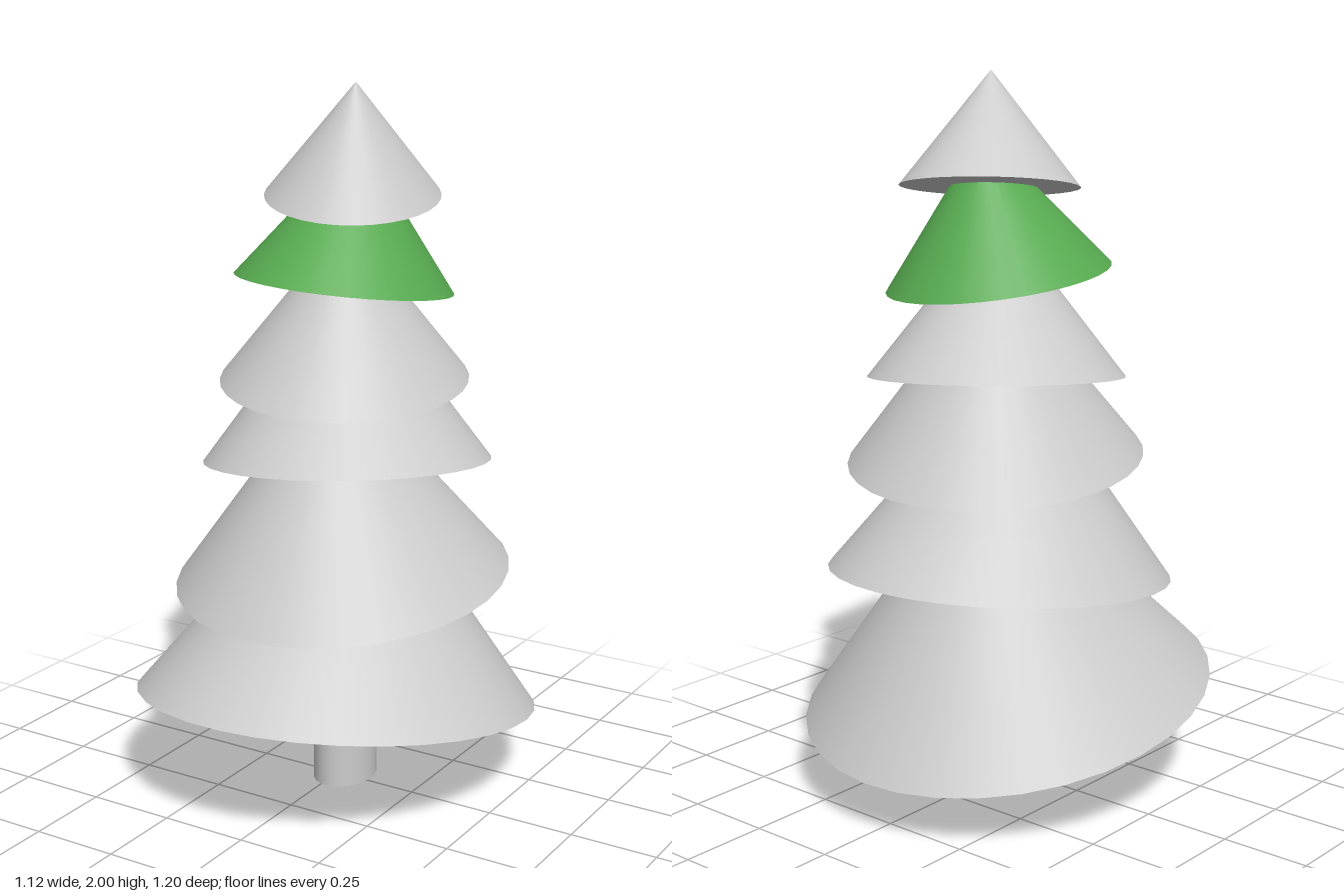
import * as THREE from 'three';

export function createModel() {
  const tree = new THREE.Group();
  tree.name = 'tree';

  const grey = new THREE.MeshStandardMaterial({ color: 0xcccccc });
  grey.name = 'light grey';
  const green = new THREE.MeshStandardMaterial({ color: 0x57aa50 });
  green.name = 'leaf green';

  // Slightly oval trunk, ending inside the lowest tier
  const trunk = new THREE.Mesh(new THREE.CylinderGeometry(0.085, 0.085, 0.4, 24), grey);
  trunk.name = 'trunk';
  trunk.scale.z = 1.28;
  trunk.position.set(0.016, 0.2, -0.018);
  tree.add(trunk);

  // Overlapping tiers: base centre, radius, height, base slope along x and z
  const tiers = [
    { at: [0, 0.255, 0], r: 0.562, h: 0.73, sx: 0.027, sz: 0.175 },
    { at: [-0.008, 0.614, -0.045], r: 0.466, h: 0.62, sx: -0.01, sz: -0.107 },
    { at: [0.005, 0.947, -0.048], r: 0.397, h: 0.54, sx: 0.075, sz: 0.111 },
    { at: [-0.021, 1.176, -0.074], r: 0.342, h: 0.45, sx: -0.069, sz: -0.095 },
    { at: [-0.01, 1.445, -0.053], r: 0.299, h: 0.395, sx: -0.055, sz: 0.114, mat: green },
    { at: [0.006, 1.69, -0.071], r: 0.237, h: 0.313, sx: -0.12, sz: -0.157 },
  ];

  tiers.forEach(({ at, r, h, sx, sz, mat = grey }, i) => {
    const cone = new THREE.ConeGeometry(r, h, 32, 4);
    cone.translate(0, h / 2, 0); // pivot on the base
    const tier = new THREE.Mesh(cone, mat);
    tier.name = `foliageTier${i + 1}`;
    tier.scale.z = 1.083;
    tier.rotation.set(-Math.atan(sz), 0, Math.atan(sx));
    tier.position.set(...at);
    tree.add(tier);
  });

  return tree;
}
